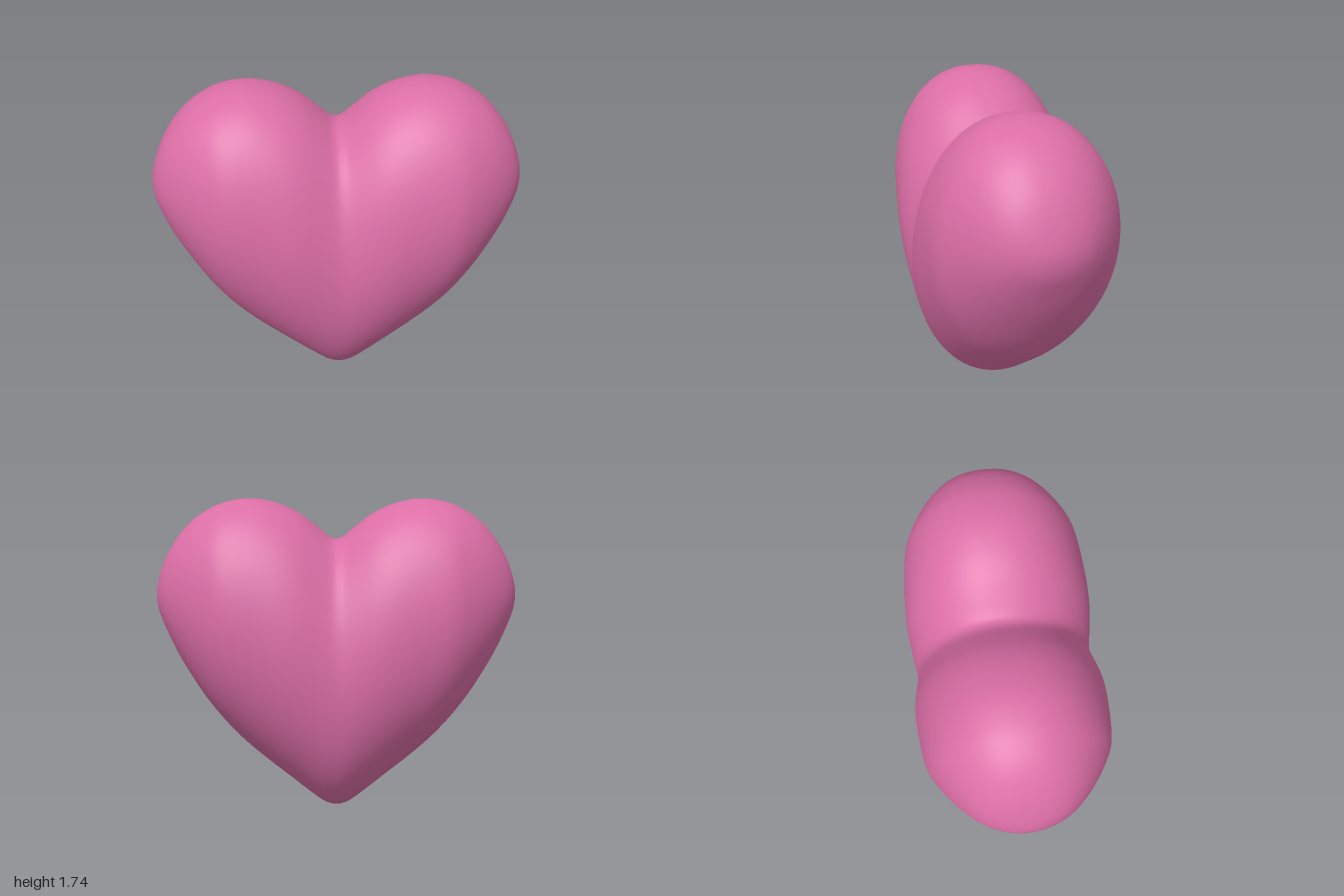
import * as THREE from 'three';

// Right-half profiles as [x, value]; each is mirrored about x = 0
const TOP = [[0, 1.515], [0.04, 1.53], [0.1, 1.58], [0.2, 1.655], [0.32, 1.71], [0.46, 1.737], [0.6, 1.72],
  [0.7, 1.68], [0.8, 1.61], [0.9, 1.49], [0.96, 1.37], [0.99, 1.28], [1, 1.21]];
const BOTTOM = [[0, 0], [0.06, 0.015], [0.12, 0.055], [0.27, 0.175], [0.51, 0.375], [0.69, 0.575],
  [0.83, 0.785], [0.94, 1.0], [0.985, 1.11], [1, 1.21]];
const DEPTH = [[0, 0.497], [0.08, 0.504], [0.25, 0.52], [0.45, 0.505], [0.6, 0.48], [0.7, 0.43],
  [0.8, 0.36], [0.9, 0.265], [0.96, 0.175], [1, 0]];

// Smooth function of u = asin(x), so the profiles close roundly at x = +-1
function profile(points) {
  const half = points.map(([x, v]) => new THREE.Vector2(Math.asin(x), v));
  const mirrored = half.slice(1).reverse().map((p) => new THREE.Vector2(-p.x, p.y));
  const curve = new THREE.SplineCurve([...mirrored, ...half]);
  return (u) => {
    let lo = 0, hi = 1;
    for (let k = 0; k < 40; k++) {
      const mid = (lo + hi) / 2;
      if (curve.getPoint(mid).x < u) lo = mid; else hi = mid;
    }
    return curve.getPoint(lo).y;
  };
}

// Loft of upright oval slices running from one side to the other
function heartGeometry(slices = 128, sides = 96) {
  const top = profile(TOP), bottom = profile(BOTTOM), depth = profile(DEPTH);
  const positions = [], index = [];
  for (let i = 0; i <= slices; i++) {
    const u = (i / slices - 0.5) * Math.PI;
    const tip = i === 0 || i === slices;
    const t = tip ? 1.21 : top(u), b = tip ? 1.21 : bottom(u), d = tip ? 0 : depth(u);
    for (let j = 0; j < sides; j++) {
      const a = (j / sides) * Math.PI * 2;
      const c = Math.cos(a), s = Math.sin(a);
      // the upper half is slightly fuller than an ellipse
      const z = s > 0 ? Math.sign(c) * Math.abs(c) ** 0.9 : c;
      positions.push(Math.sin(u), (t + b) / 2 + ((t - b) / 2) * s, d * z);
      if (i < slices) {
        const n = (j + 1) % sides;
        const p = i * sides + j, q = i * sides + n;
        if (i < slices - 1) index.push(p, p + sides, q + sides);
        else index.push(p, p + sides, q);
        if (i > 0 && i < slices - 1) index.push(p, q + sides, q);
      }
    }
  }
  const geometry = new THREE.BufferGeometry();
  geometry.setAttribute('position', new THREE.Float32BufferAttribute(positions, 3));
  geometry.setIndex(index);
  geometry.computeVertexNormals();
  // shared sideways normal at both tips
  for (let j = 0; j < sides; j++) {
    geometry.attributes.normal.setXYZ(j, -1, 0, 0);
    geometry.attributes.normal.setXYZ(slices * sides + j, 1, 0, 0);
  }
  return geometry;
}

export function createModel() {
  const pink = new THREE.MeshStandardMaterial({ color: 0xdb6ea6 });
  pink.name = 'pink';
  const heart = new THREE.Mesh(heartGeometry(), pink);
  heart.name = 'heart';
  const group = new THREE.Group();
  group.name = 'heartModel';
  group.add(heart);
  return group;
}
